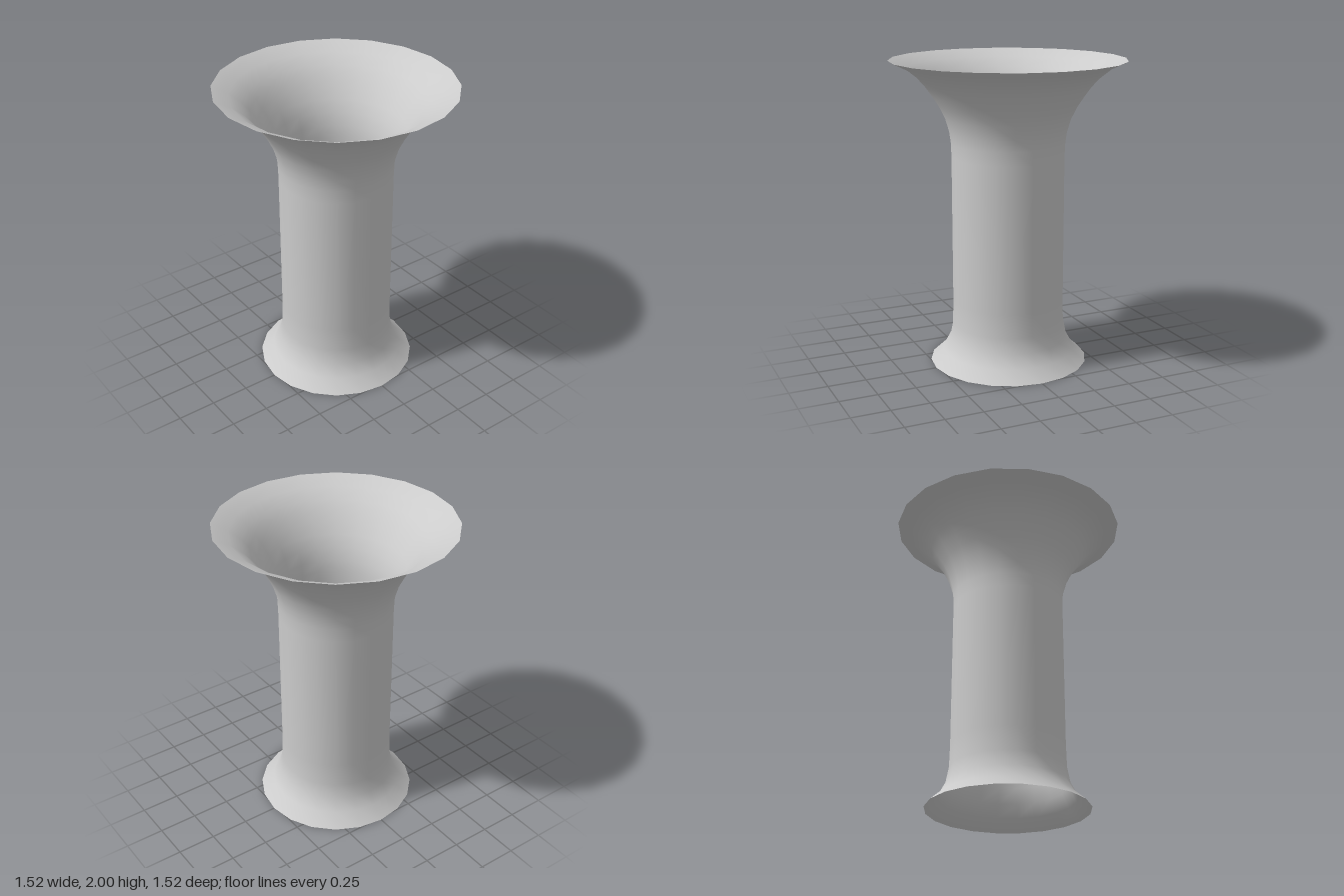
import * as THREE from 'three';

export function createModel() {
  const group = new THREE.Group();
  group.name = 'flaredTube';

  // Open wall profile (radius, height): small foot flare, straight neck, wide mouth
  const profile = [
    [0.52, 0], [0.435, 0.075], [0.39, 0.16], [0.371, 0.26], [0.367, 0.42],
    [0.367, 1.38], [0.37, 1.47], [0.38, 1.545], [0.405, 1.63], [0.442, 1.705],
    [0.487, 1.775], [0.53, 1.835], [0.58, 1.89], [0.655, 1.95], [0.76, 2],
  ].map(([r, y]) => new THREE.Vector2(r, y));

  // Thin 20-sided shell, open at both ends
  const tube = new THREE.Mesh(
    new THREE.LatheGeometry(profile, 20),
    new THREE.MeshStandardMaterial({ color: 0xcccccc, side: THREE.DoubleSide })
  );
  tube.name = 'tubeWall';
  group.add(tube);
  return group;
}
